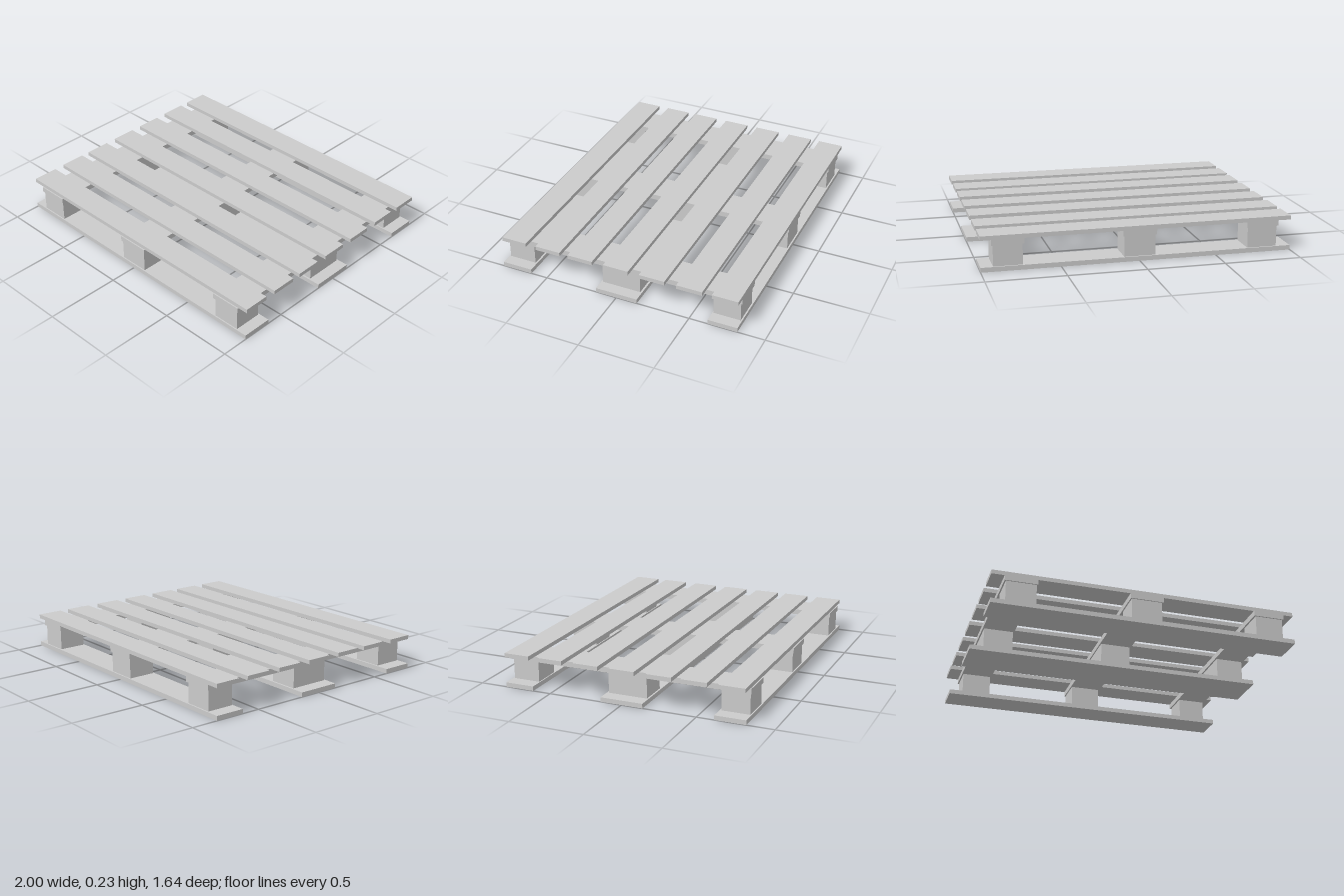
import * as THREE from 'three';

const material = new THREE.MeshStandardMaterial({ color: 0xcccccc, flatShading: true });

// Box given by its extents along each axis
function plank(name, [x0, x1], [y0, y1], [z0, z1]) {
  const mesh = new THREE.Mesh(new THREE.BoxGeometry(x1 - x0, y1 - y0, z1 - z0), material);
  mesh.position.set((x0 + x1) / 2, (y0 + y1) / 2, (z0 + z1) / 2);
  mesh.name = name;
  return mesh;
}

export function createModel() {
  const pallet = new THREE.Group();
  pallet.name = 'pallet';
  const fullWidth = [-1, 1];

  // Seven deck boards across the top
  for (const z of [-0.735, -0.5, -0.248, 0, 0.25, 0.481, 0.726]) {
    pallet.add(plank('deckBoard', fullWidth, [0.201, 0.228], [z - 0.086, z + 0.086]));
  }

  // Three stringer boards running front to back
  for (const x of [[-0.917, -0.706], [-0.11, 0.108], [0.727, 0.932]]) {
    pallet.add(plank('stringerBoard', x, [0.165, 0.201], [-0.82, 0.82]));
  }

  // Three bottom boards, each carrying a row of three blocks
  const rows = [
    { board: [-0.82, -0.623], block: [-0.81, -0.63] },
    { board: [-0.143, 0.143], block: [-0.13, 0.132] },
    { board: [0.615, 0.82], block: [0.627, 0.812] },
  ];
  for (const { board, block } of rows) {
    pallet.add(plank('bottomBoard', fullWidth, [0, 0.03], board));
    for (const x of [[-0.908, -0.714], [-0.102, 0.098], [0.738, 0.922]]) {
      pallet.add(plank('spacerBlock', x, [0.03, 0.165], block));
    }
  }
  return pallet;
}
